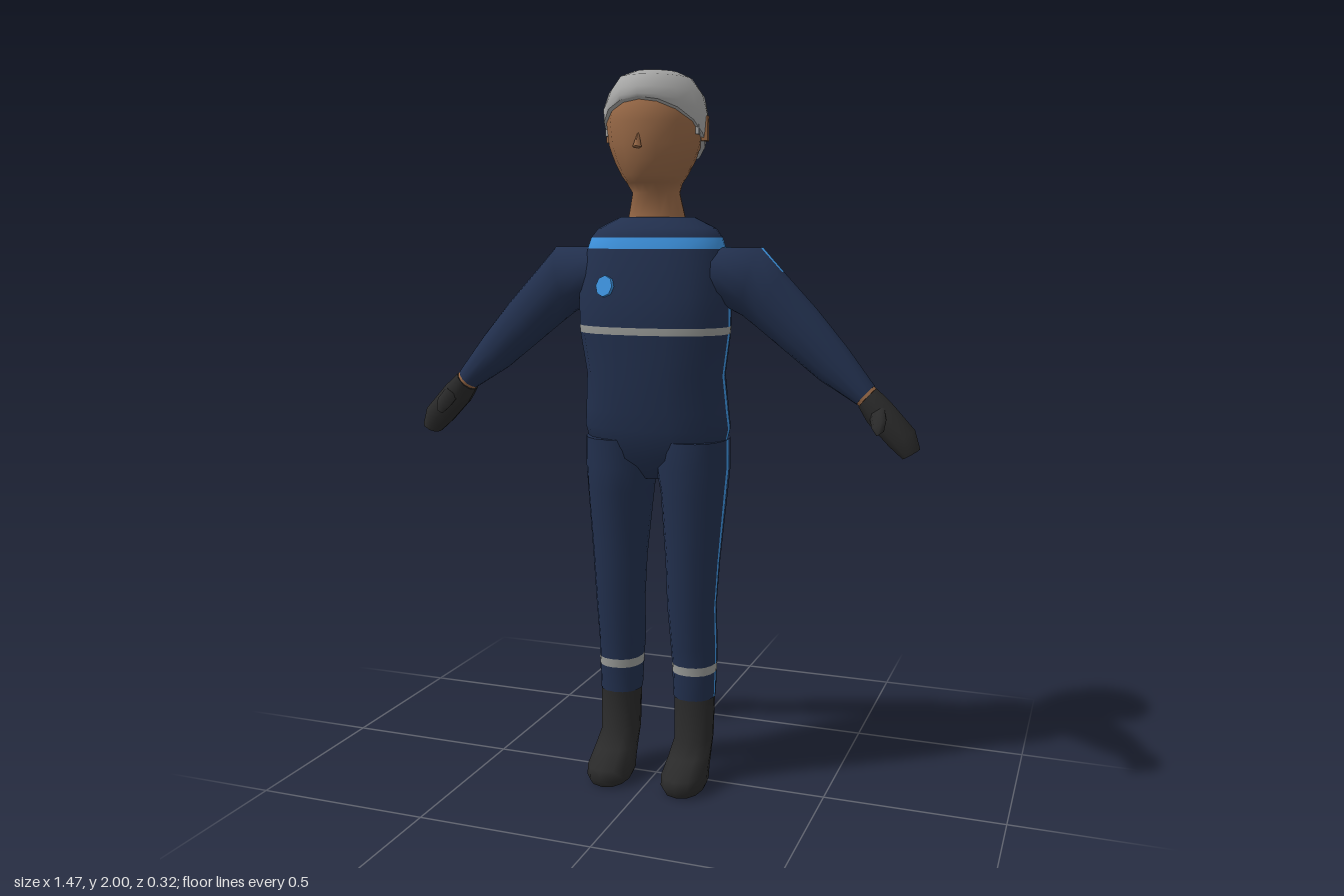
import * as THREE from 'three';

const flat = (name, color) => {
  const m = new THREE.MeshStandardMaterial({ color });
  m.name = name;
  return m;
};
const navy = flat('navy cloth', 0x22304e);
const blue = flat('blue trim', 0x3d92de);
const silver = flat('silver band', 0x999b98);
const skin = flat('skin', 0x976846);
const grey = flat('grey hair', 0xa6a6a5);
const black = flat('black rubber', 0x2a2a2a);
const suit = [navy, blue, silver];

// Skin a tube over rings [ax, ay, bx, by, zBack, zFront]; a and b are the ends of one diameter.
// Narrow columns of half angle d run along a and b, and paint(ring, column) picks a material index.
function loft(rings, { n = 16, d = 0.05, e = 1, paint = () => 0 } = {}) {
  const angles = [];
  for (let k = 0; k < n; k++) {
    const a = (2 * Math.PI * k) / n;
    if (k % (n / 2) === 0) angles.push(a - d, a + d);
    else angles.push(a);
  }
  const pow = (v) => Math.sign(v) * Math.abs(v) ** e;
  const pos = [], buckets = [[], [], []], m = angles.length;
  const addRing = ([ax, ay, bx, by, zb, zf]) => angles.forEach((t) => {
    const c = pow(Math.cos(t)), s = pow(Math.sin(t));
    pos.push((ax + bx) / 2 + (bx - ax) / 2 * c, (ay + by) / 2 + (by - ay) / 2 * c, (zb + zf) / 2 + (zf - zb) / 2 * s);
  });
  rings.forEach(addRing);
  for (let i = 0; i < rings.length - 1; i++) {
    for (let j = 0; j < m; j++) {
      const k = (j + 1) % m, p = i * m, q = p + m;
      buckets[paint(i, j)].push(p + j, q + j, p + k, p + k, q + j, q + k);
    }
  }
  // Flat end caps with their own corners
  [rings[0], rings[rings.length - 1]].forEach((r, end) => {
    const base = pos.length / 3;
    addRing(r);
    for (let j = 1; j < m - 1; j++) {
      buckets[0].push(base, base + j + (end ? 1 : 0), base + j + (end ? 0 : 1));
    }
  });
  const g = new THREE.BufferGeometry();
  g.setAttribute('position', new THREE.Float32BufferAttribute(pos, 3));
  g.setIndex(buckets.flat());
  let start = 0;
  buckets.forEach((b, i) => {
    if (b.length) g.addGroup(start, b.length, i);
    start += b.length;
  });
  g.computeVertexNormals();
  return g;
}

// Upright rings from [y, halfWidth, zBack, zFront]
const upright = (rows) => rows.map(([y, w, zb, zf]) => [-w, y, w, y, zb, zf]);

// Mirror a geometry across x = 0, keeping its faces outward
function mirror(geo) {
  const g = geo.clone().scale(-1, 1, 1);
  const ix = g.index.array;
  for (let i = 0; i < ix.length; i += 3) [ix[i + 1], ix[i + 2]] = [ix[i + 2], ix[i + 1]];
  g.computeVertexNormals();
  return g;
}

export function createModel() {
  const model = new THREE.Group();
  model.name = 'worker';
  const add = (name, geo, mat) => {
    const mesh = new THREE.Mesh(geo, mat);
    mesh.name = name;
    model.add(mesh);
  };
  const pair = (name, geo, mat) => {
    add('left' + name, geo, mat);
    add('right' + name, mirror(geo), mat);
  };

  // Jacket with chest band, shoulder band and side piping
  add('jacket', loft(upright([
    [0.885, 0.05, -0.06, 0.04], [0.95, 0.19, -0.13, 0.1], [1.03, 0.21, -0.14, 0.115],
    [1.08, 0.205, -0.14, 0.125], [1.18, 0.197, -0.13, 0.135], [1.295, 0.214, -0.125, 0.145],
    [1.315, 0.215, -0.125, 0.146], [1.4, 0.216, -0.125, 0.146], [1.525, 0.195, -0.125, 0.123],
    [1.555, 0.185, -0.125, 0.118], [1.58, 0.165, -0.12, 0.107], [1.61, 0.105, -0.08, 0.066],
  ]), {
    n: 20, e: 0.87,
    paint: (i, j) => (i === 8 ? 1 : i === 5 ? 2 : i > 0 && i < 7 && (j === 0 || j === 11) ? 1 : 0),
  }), suit);

  // Chest badge
  const badge = new THREE.CylinderGeometry(0.029, 0.029, 0.009, 8);
  badge.rotateX(Math.PI / 2 - 0.18).rotateY(-0.33).translate(-0.1, 1.425, 0.134);
  add('chestBadge', badge, blue);

  // Trouser legs with outer piping and ankle bands
  pair('TrouserLeg', loft([
    [0.053, 0.25, 0.172, 0.25, -0.078, 0.05], [0.05, 0.325, 0.174, 0.325, -0.085, 0.055],
    [0.049, 0.35, 0.175, 0.35, -0.087, 0.057], [0.045, 0.4, 0.175, 0.4, -0.09, 0.06],
    [0.04, 0.52, 0.177, 0.52, -0.072, 0.077], [0.035, 0.65, 0.185, 0.65, -0.085, 0.085],
    [0.02, 0.85, 0.2, 0.85, -0.128, 0.105], [0.005, 0.92, 0.206, 0.92, -0.137, 0.108],
    [0.01, 1.0, 0.205, 1.0, -0.137, 0.108],
  ], { d: 0.07, e: 0.9, paint: (i, j) => (i === 1 ? 2 : j === 0 ? 1 : 0) }), suit);

  // Boots
  pair('Boot', loft([
    [0.06, 0, 0.165, 0, -0.015, 0.15], [0.05, 0.02, 0.175, 0.02, -0.02, 0.163],
    [0.05, 0.05, 0.175, 0.05, -0.027, 0.16], [0.055, 0.09, 0.171, 0.09, -0.05, 0.1],
    [0.058, 0.127, 0.168, 0.127, -0.07, 0.052], [0.056, 0.25, 0.17, 0.25, -0.076, 0.048],
  ], { n: 12, e: 0.85 }), black);

  // Sleeves with a trim along the top of the shoulder
  pair('Sleeve', loft([
    [0.14, 1.53, 0.14, 1.38, -0.085, 0.075], [0.2, 1.53, 0.2, 1.37, -0.085, 0.08],
    [0.3, 1.53, 0.25, 1.345, -0.077, 0.068], [0.36, 1.465, 0.29, 1.315, -0.068, 0.06],
    [0.45, 1.37, 0.36, 1.26, -0.06, 0.052], [0.535, 1.27, 0.465, 1.178, -0.055, 0.048],
    [0.612, 1.168, 0.567, 1.117, -0.047, 0.041],
  ], { n: 12, d: 0.17, paint: (i, j) => (i < 3 && j === 7 ? 1 : 0) }), suit);

  // Bare wrist showing between sleeve and glove
  pair('Wrist', loft([
    [0.606, 1.172, 0.562, 1.122, -0.045, 0.039], [0.617, 1.161, 0.574, 1.112, -0.045, 0.039],
  ], { n: 12 }), skin);

  // Gloves and thumbs
  pair('Glove', loft([
    [0.618, 1.161, 0.573, 1.11, -0.048, 0.042], [0.655, 1.128, 0.597, 1.07, -0.055, 0.05],
    [0.722, 1.055, 0.655, 1.01, -0.055, 0.05], [0.737, 1.005, 0.693, 0.978, -0.043, 0.038],
  ], { n: 10, e: 0.85 }), black);
  pair('Thumb', loft([
    [0.645, 1.12, 0.607, 1.095, 0.015, 0.05], [0.658, 1.088, 0.62, 1.065, 0.04, 0.09],
    [0.655, 1.06, 0.636, 1.047, 0.068, 0.09],
  ], { n: 6 }), black);

  // Neck and head
  add('head', loft(upright([
    [1.58, 0.085, -0.075, 0.062], [1.61, 0.08, -0.07, 0.06], [1.675, 0.066, -0.057, 0.058],
    [1.7, 0.074, -0.075, 0.1], [1.72, 0.088, -0.09, 0.118], [1.76, 0.109, -0.11, 0.132],
    [1.8, 0.124, -0.12, 0.141], [1.86, 0.133, -0.13, 0.143], [1.92, 0.12, -0.12, 0.135],
    [1.96, 0.08, -0.08, 0.08],
  ])), skin);
  add('nose', new THREE.ConeGeometry(0.013, 0.045, 4).rotateX(-0.25).translate(0, 1.812, 0.144), skin);
  pair('Ear', new THREE.BoxGeometry(0.018, 0.066, 0.036).rotateY(0.2).translate(0.134, 1.845, -0.015), skin);
  pair('Sideburn', new THREE.BoxGeometry(0.009, 0.035, 0.02).rotateY(0.2).translate(0.128, 1.845, 0.03), grey);

  // Hair cap, its lower rings sloping down from the forehead to the nape
  const hair = loft(upright([
    [1.8, 0.138, -0.117, 0.145], [1.93, 0.143, -0.155, 0.15], [1.948, 0.127, -0.157, 0.148],
    [1.978, 0.095, -0.125, 0.13], [1.994, 0.06, -0.08, 0.08], [2, 0.001, -0.001, 0.001],
  ]));
  const p = hair.attributes.position;
  for (let i = 0; i < p.count; i++) {
    const y = p.getY(i), z = p.getZ(i);
    const weight = y < 1.81 ? 1 : y < 1.94 ? 0.45 : y < 1.96 ? 0.1 : 0;
    const edge = 1.818 + z * (z > 0 ? 0.7 : 0.6);
    p.setY(i, THREE.MathUtils.lerp(y, edge, weight));
  }
  hair.computeVertexNormals();
  add('hair', hair, grey);

  return model;
}
